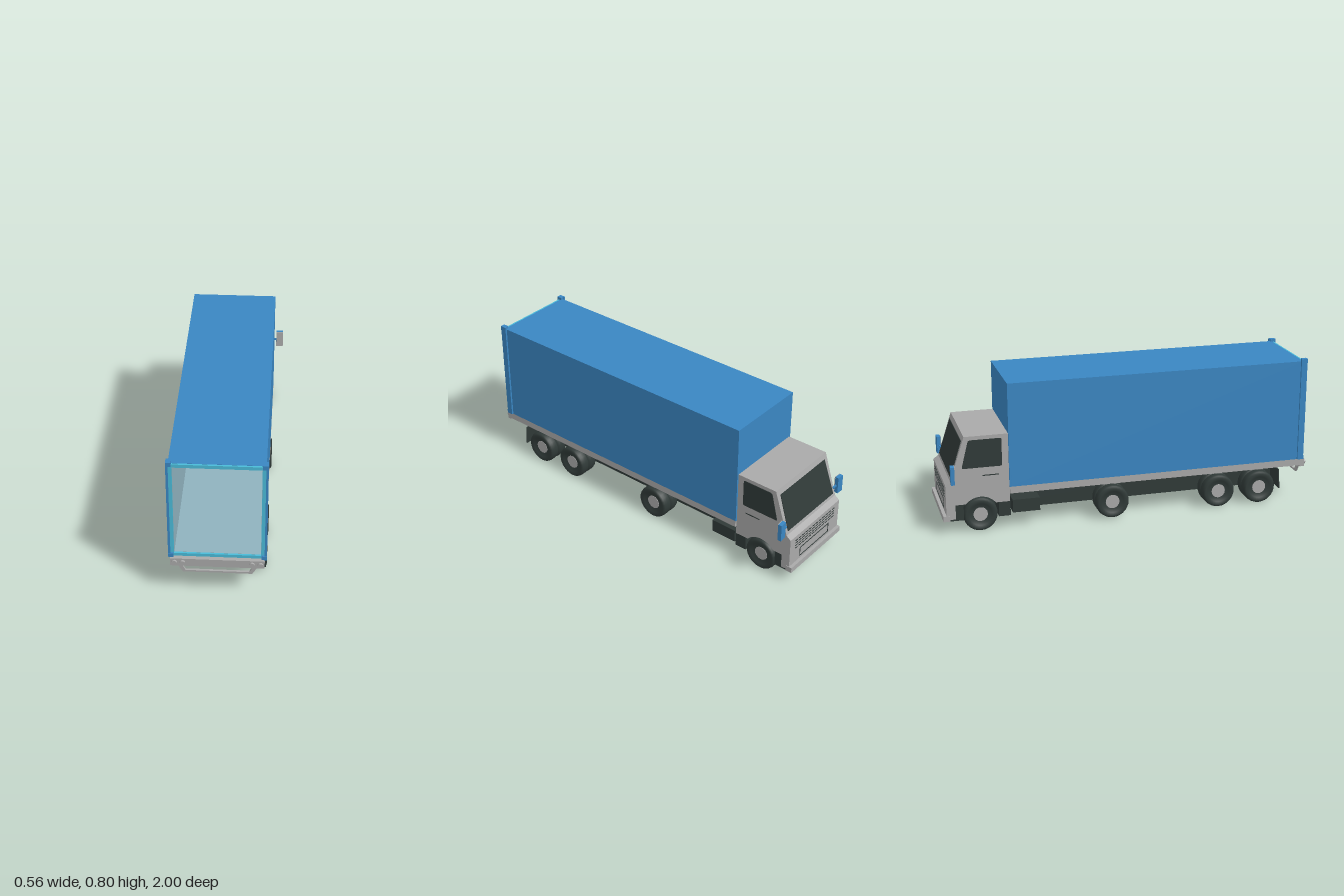
import * as THREE from 'three';

export function createModel() {
  const truck = new THREE.Group();
  truck.name = 'boxTruck';

  const paint = (name, color) => {
    const m = new THREE.MeshStandardMaterial({ color });
    m.name = name;
    return m;
  };
  const blue = paint('containerBlue', 0x3a86c2);
  const cyan = paint('frameCyan', 0x4abbd8);
  const grey = paint('bodyGrey', 0xa9a9a9);
  const dark = paint('rubberAndGlass', 0x303a38);
  const lining = paint('lining', 0x8fb2be);
  const backLining = paint('backLining', 0x688ca9);

  const add = (name, geo, mat, x = 0, y = 0, z = 0) => {
    const mesh = new THREE.Mesh(geo, mat);
    mesh.name = name;
    mesh.position.set(x, y, z);
    truck.add(mesh);
    return mesh;
  };
  // Box given by its limits on each axis
  const box = (name, mat, x0, x1, y0, y1, z0, z1) => add(name,
    new THREE.BoxGeometry(Math.abs(x1 - x0), y1 - y0, z1 - z0), mat,
    (x0 + x1) / 2, (y0 + y1) / 2, (z0 + z1) / 2);
  const polygon = (pts) => new THREE.Shape(pts.map(([a, b]) => new THREE.Vector2(a, b)));
  const extrude = (shape, depth) =>
    new THREE.ExtrudeGeometry(shape, { depth, bevelEnabled: false, curveSegments: 20 });
  // Side profile in (-z, y), extruded across x and centred
  const across = (shape, width) =>
    extrude(shape, width).translate(0, 0, -width / 2).rotateY(Math.PI / 2);
  const rect = (w, y0, y1) => polygon([[-w, y0], [w, y0], [w, y1], [-w, y1]]);
  const ring = (w, y0, y1, iw, iy0, iy1) => {
    const s = rect(w, y0, y1);
    s.holes.push(rect(iw, iy0, iy1));
    return s;
  };

  // Open container with lining
  add('containerShell', extrude(ring(0.23, 0.232, 0.786, 0.213, 0.249, 0.768), 1.61), blue, 0, 0, -0.65);
  box('containerFrontWall', blue, -0.23, 0.23, 0.232, 0.786, -0.652, -0.64);
  box('backLining', backLining, -0.213, 0.213, 0.249, 0.768, -0.64, -0.636);
  box('floorLining', lining, -0.213, 0.213, 0.248, 0.251, -0.636, 0.959);
  box('ceilingLining', lining, -0.213, 0.213, 0.766, 0.769, -0.636, 0.959);
  add('doorFrame', extrude(ring(0.23, 0.234, 0.785, 0.212, 0.251, 0.767), 0.01), cyan, 0, 0, 0.96);

  for (const s of [-1, 1]) {
    box('sideLining', lining, s * 0.211, s * 0.214, 0.249, 0.768, -0.636, 0.959);
    // Corner posts with end blocks
    box('cornerPost', blue, s * 0.229, s * 0.24, 0.234, 0.8, 0.945, 0.978);
    box('cornerBlock', blue, s * 0.214, s * 0.24, 0.777, 0.8, 0.95, 0.98);
    box('cornerBlock', blue, s * 0.214, s * 0.24, 0.233, 0.255, 0.95, 0.98);
    box('deckRail', grey, s * 0.2, s * 0.23, 0.195, 0.232, -0.65, 0.98);
    // Mudflaps and side boxes
    const flap = box('mudflap', dark, s * 0.117, s * 0.235, 0.075, 0.186, 0.838, 0.844);
    flap.rotation.x = -0.08;
    box('flapBracket', grey, s * 0.113, s * 0.117, 0.15, 0.19, 0.835, 0.848);
    box('sideTank', dark, s * 0.1, s * 0.21, 0.08, 0.15, -0.635, -0.49);
    for (const x of [0.17, 0.21]) {
      const lamp = add('tailLamp', new THREE.CylinderGeometry(0.014, 0.014, 0.012, 20), grey, s * x, 0.21, 0.994);
      lamp.rotation.x = Math.PI / 2;
    }
  }

  // Chassis and rear beam
  box('chassis', dark, -0.111, 0.111, 0.067, 0.231, -0.97, 0.84);
  box('rearBeam', grey, -0.23, 0.23, 0.188, 0.232, 0.965, 0.99);
  add('underrunBar', extrude(polygon([[-0.2, 0.19], [-0.17, 0.14], [0.17, 0.14], [0.2, 0.19],
    [0.177, 0.19], [0.157, 0.15], [-0.157, 0.15], [-0.177, 0.19]]), 0.012), grey, 0, 0, 0.965);

  // Cab with wheel arch
  const side = polygon([[0.65, 0.15], [0.65, 0.52], [0.88, 0.52], [0.957, 0.285],
    [0.983, 0.265], [0.983, 0.078], [0.935, 0.078], [0.935, 0.155]]);
  side.absarc(0.805, 0.09, 0.1, 0.707, Math.PI - 0.644, false);
  add('cab', across(side, 0.44), grey);
  box('frontBumper', grey, -0.223, 0.223, 0.07, 0.1, -1, -0.965);
  box('cabUnderbody', dark, -0.217, 0.217, 0.068, 0.155, -0.968, -0.893);
  box('cabStep', dark, -0.217, 0.217, 0.07, 0.152, -0.71, -0.648);

  // Windscreen lying on the slope
  const screen = add('windscreen', extrude(polygon([[-0.203, -0.1], [0.203, -0.1],
    [0.195, 0.1], [-0.195, 0.1]]), 0.006).translate(0, 0, -0.003), dark, 0, 0.397, -0.9205);
  screen.rotation.x = 0.3166;

  // Grille dashes and number plate outline
  for (let row = 0; row < 4; row++) {
    for (let i = 0; i < 12; i++) {
      const x = -0.165 + i * 0.03;
      box('grilleSlot', dark, x - 0.011, x + 0.011, 0.19 + row * 0.016, 0.194 + row * 0.016, -0.985, -0.982);
    }
  }
  add('plateOutline', extrude(ring(0.13, 0.115, 0.17, 0.126, 0.119, 0.166), 0.003), dark, 0, 0, -0.985);

  for (const s of [-1, 1]) {
    // Side windows, handles and mirrors
    add('sideWindow', across(polygon([[0.687, 0.355], [0.692, 0.35], [0.895, 0.35], [0.894, 0.36],
      [0.86, 0.495], [0.85, 0.5], [0.692, 0.5], [0.687, 0.495]]), 0.005), dark, s * 0.22);
    box('doorHandle', dark, s * 0.219, s * 0.222, 0.303, 0.308, -0.79, -0.705);
    const shell = box('mirrorShell', blue, s * 0.237, s * 0.277, 0.286, 0.381, -0.96, -0.94);
    const glass = box('mirrorGlass', grey, s * 0.237, s * 0.277, 0.286, 0.381, -0.94, -0.937);
    for (const m of [shell, glass]) m.rotation.y = s * 0.06;
    box('mirrorArm', blue, s * 0.21, s * 0.24, 0.325, 0.335, -0.95, -0.942);
  }

  // Twin tyres turned from one profile, with hubs
  const half = [[0, 0.044], [0.039, 0.044], [0.06, 0.053], [0.077, 0.0585],
    [0.087, 0.051], [0.09, 0.038], [0.09, 0.014], [0.087, 0.005], [0.079, 0.001]];
  const profile = [...half.map(([r, h]) => new THREE.Vector2(r, -h)),
    ...half.slice().reverse().map(([r, h]) => new THREE.Vector2(r, h))];
  const tyre = new THREE.LatheGeometry(profile, 28).rotateZ(Math.PI / 2);
  const hub = new THREE.CylinderGeometry(0.038, 0.038, 0.006, 16).rotateZ(Math.PI / 2);
  for (const z of [0.73, 0.495, -0.1, -0.805]) {
    const x = z < -0.5 ? 0.166 : 0.178;
    for (const s of [-1, 1]) {
      add('tyre', tyre, dark, s * x, 0.09, z);
      add('hub', hub, grey, s * (x + 0.043), 0.09, z);
    }
    const axle = add('axle', new THREE.CylinderGeometry(0.02, 0.02, 0.26, 10), dark, 0, 0.09, z);
    axle.rotation.z = Math.PI / 2;
  }
  return truck;
}
